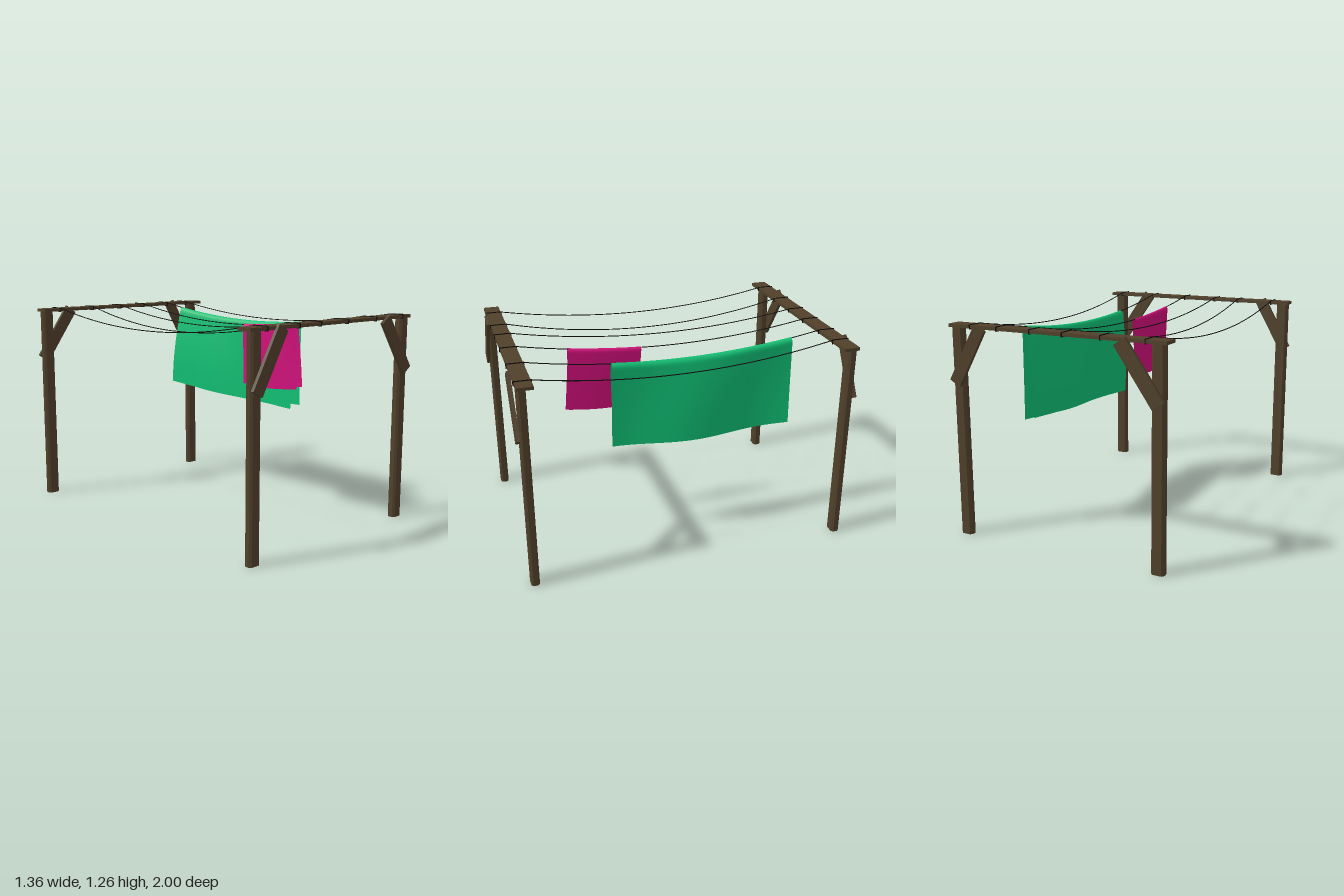
import * as THREE from 'three';

const paint = (name, color, side = THREE.FrontSide) => {
  const m = new THREE.MeshStandardMaterial({ color, side });
  m.name = name;
  return m;
};

// ropes: x at the back beam, x at the front beam, sag
const ROPES = [
  [-0.56, -0.56, 0.09], [-0.3, -0.317, 0.11], [-0.07, -0.145, 0.085],
  [0.135, 0.085, 0.085], [0.35, 0.34, 0.085], [0.53, 0.595, 0.085],
];
const BEAM_TOP = 1.247, SPAN = 0.9;
const ropePoint = ([back, front, sag], z) => {
  const k = (z + SPAN) / (2 * SPAN);
  return new THREE.Vector3(back + (front - back) * k, BEAM_TOP + 0.003 - sag * (1 - (z / SPAN) ** 2), z);
};

export function createModel() {
  const model = new THREE.Group();
  const wood = paint('dark wood', 0x50402a);
  const cord = paint('black cord', 0x0d0b09);
  const green = paint('green cloth', 0x10be73, THREE.DoubleSide);
  const pink = paint('pink cloth', 0xd00f7a, THREE.DoubleSide);

  const add = (parent, name, geometry, material, x = 0, y = 0, z = 0) => {
    const mesh = new THREE.Mesh(geometry, material);
    mesh.name = name;
    mesh.position.set(x, y, z);
    parent.add(mesh);
    return mesh;
  };

  // post section: rectangle with cut corners
  const postShape = new THREE.Shape();
  const w = 0.038, d = 0.025, c = 0.012;
  postShape.setFromPoints([
    [w, -d + c], [w, d - c], [w - c, d], [c - w, d], [-w, d - c], [-w, c - d], [c - w, -d], [w - c, -d],
  ].map(p => new THREE.Vector2(...p)));
  const postGeometry = new THREE.ExtrudeGeometry(postShape, { depth: 1.23, bevelEnabled: false });
  postGeometry.rotateX(-Math.PI / 2);

  // diagonal board between two points on the outer face of a frame
  const brace = (parent, x0, y0, x1, y1, width) => {
    const length = Math.hypot(x1 - x0, y1 - y0);
    const board = add(parent, 'brace', new THREE.BoxGeometry(width, length, 0.02), wood,
      (x0 + x1) / 2, (y0 + y1) / 2, 0.99);
    board.rotation.z = -Math.atan2(x1 - x0, y1 - y0);
  };

  // the two end frames, one turned to face the back
  for (const [name, turn] of [['frontFrame', 0], ['backFrame', Math.PI]]) {
    const frame = new THREE.Group();
    frame.name = name;
    frame.rotation.y = turn;
    for (const s of [-1, 1]) add(frame, 'post', postGeometry, wood, s * 0.628, 0, 0.955);
    add(frame, 'beam', new THREE.BoxGeometry(1.36, 0.019, 0.093), wood, 0, 1.2375, 0.937);
    brace(frame, -0.64, 0.912, -0.455, 1.238, 0.075);
    brace(frame, 0.64, 0.915, 0.418, 1.232, 0.08);
    model.add(frame);
  }

  // sagging ropes, each tied round both beams
  const ropes = new THREE.Group();
  ropes.name = 'ropes';
  for (const rope of ROPES) {
    const points = [];
    for (let i = 0; i <= 12; i++) points.push(ropePoint(rope, SPAN * (i / 6 - 1)));
    add(ropes, 'rope', new THREE.TubeGeometry(new THREE.CatmullRomCurve3(points), 40, 0.0028, 6), cord);
    for (const s of [-1, 1]) {
      const x = ropePoint(rope, s * SPAN).x;
      for (const y of [1.226, 1.249])
        add(ropes, 'ropeWrap', new THREE.BoxGeometry(0.005, 0.005, 0.102), cord, x, y, s * 0.937);
      for (const z of [0.888, 0.986])
        add(ropes, 'ropeWrap', new THREE.BoxGeometry(0.005, 0.025, 0.005), cord, x, 1.2375, s * z);
    }
  }
  model.add(ropes);

  // cloth folded over a rope; ends(side) = [z0, z1, y0, y1] along the hem, hemX(side, z) = hem position
  const cloth = (name, material, rope, topEnds, ends, hemX, radius) => {
    const geometry = new THREE.PlaneGeometry(1, 1, 32, 36);
    const pos = geometry.attributes.position;
    for (let i = 0; i < pos.count; i++) {
      const u = pos.getX(i) + 0.5, a = pos.getY(i) * 2;
      const side = a < 0 ? -1 : 1, drop = a * a;
      const mix = THREE.MathUtils.lerp;
      const [z0, z1, y0, y1] = ends(side);
      const zTop = mix(topEnds[0], topEnds[1], u);
      const z = mix(zTop, mix(z0, z1, u), drop);
      const top = ropePoint(rope, zTop);
      const hem = mix(y0, y1, u) - 0.012 * Math.sin(Math.PI * u);
      const arch = top.x + side * radius * Math.sqrt(Math.min(1, drop / 0.04));
      const spread = Math.sin(Math.min(1, drop * 1.2) * Math.PI / 2);
      pos.setXYZ(i, mix(arch, hemX(side, z), spread), mix(top.y + 0.005, hem, drop), z);
    }
    geometry.computeVertexNormals();
    add(model, name, geometry, material);
  };

  cloth('largeTowel', green, ROPES[4], [-0.71, 0.398],
    s => s > 0 ? [-0.716, 0.406, 0.668, 0.66] : [-0.75, 0.38, 0.695, 0.638],
    (s, z) => s > 0
      ? 0.374 + 0.023 * Math.cos(7 * (z + 0.08))
      : 0.305 - 0.018 * Math.cos(7 * (z + 0.4)) - 0.16 * Math.max(0, -z - 0.5),
    0.022);

  cloth('smallTowel', pink, ROPES[3], [0.155, 0.597],
    s => s > 0 ? [0.18, 0.63, 0.805, 0.828] : [0.16, 0.605, 0.8, 0.812],
    (s, z) => s > 0 ? 0.115 + 0.004 * Math.cos(12 * z) : 0.09 + 0.006 * Math.cos(11 * (z - 0.1)),
    0.015);

  return model;
}
